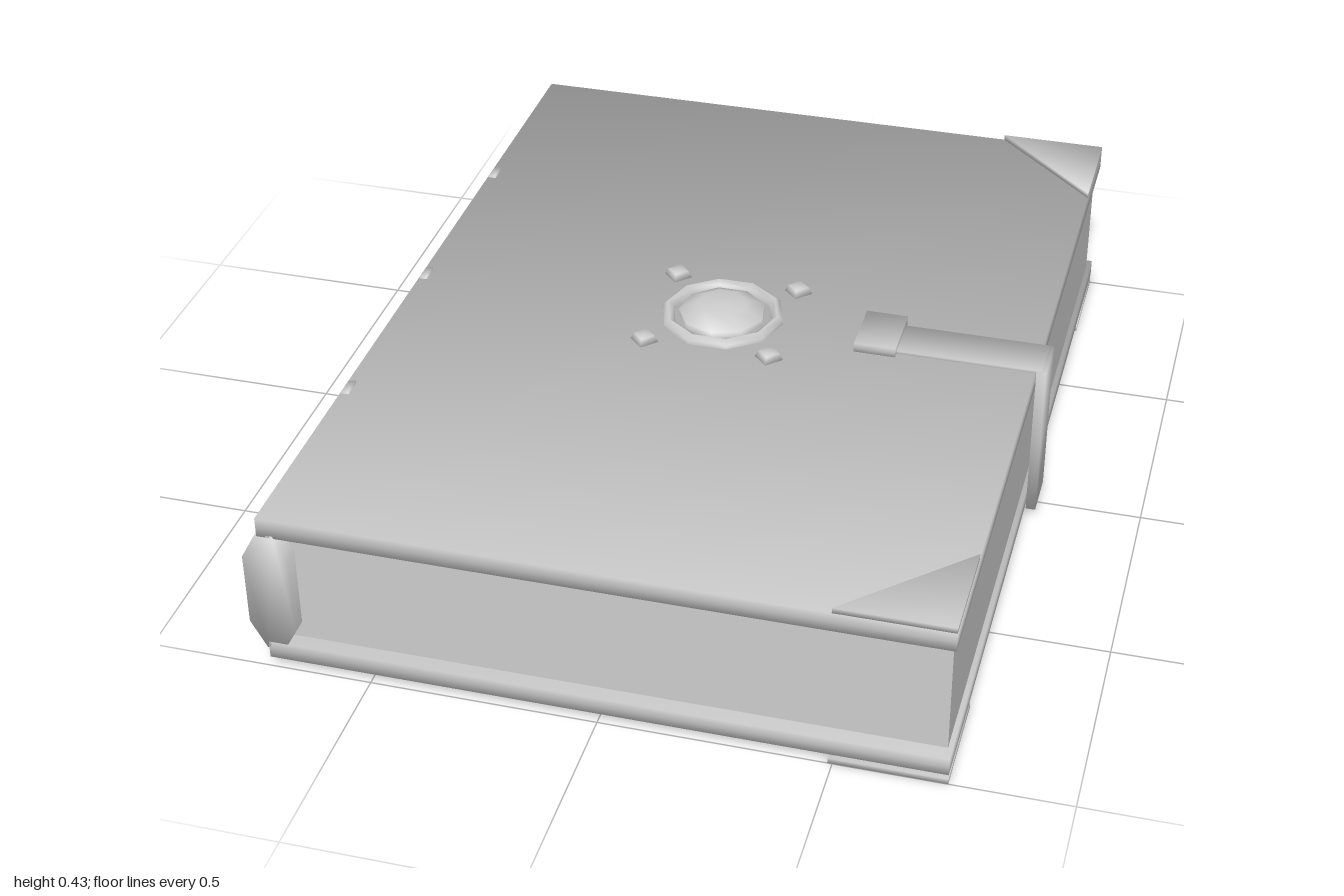
import * as THREE from 'three';

const material = new THREE.MeshStandardMaterial({ color: 0xcccccc });
material.name = 'plain grey';

// Rounds the shading: every corner gets the mean of the distinct faces meeting there
function soften(geometry) {
  const p = geometry.attributes.position, n = geometry.attributes.normal;
  const corners = new Map(), v = new THREE.Vector3();
  const key = i => [p.getX(i), p.getY(i), p.getZ(i)].map(c => Math.round(c * 1e4)).join();
  for (let i = 0; i < p.count; i++) {
    v.fromBufferAttribute(n, i);
    const list = corners.get(key(i)) ?? [];
    if (!list.some(m => m.dot(v) > 0.99)) list.push(v.clone());
    corners.set(key(i), list);
  }
  for (let i = 0; i < p.count; i++) {
    v.set(0, 0, 0);
    corners.get(key(i)).forEach(m => v.add(m));
    v.normalize();
    n.setXYZ(i, v.x, v.y, v.z);
  }
  return geometry;
}

const extrude = (points, depth) => new THREE.ExtrudeGeometry(
  new THREE.Shape(points.map(([x, y]) => new THREE.Vector2(x, y))), { depth, bevelEnabled: false });

export function createModel() {
  const book = new THREE.Group();
  book.name = 'book';

  const add = (name, geometry, x = 0, y = 0, z = 0) => {
    const mesh = new THREE.Mesh(geometry, material);
    mesh.name = name;
    mesh.position.set(x, y, z);
    book.add(mesh);
    return mesh;
  };
  // Box given by its limits along x and y, centred on z
  const slab = (name, x0, x1, y0, y1, depth, soft = true) => {
    const g = new THREE.BoxGeometry(x1 - x0, y1 - y0, depth, 1, soft ? 2 : 1, 1);
    return add(name, soft ? soften(g) : g, (x0 + x1) / 2, (y0 + y1) / 2, 0);
  };

  // Covers and page block
  slab('topCover', -0.725, 0.74, 0.345, 0.39, 2);
  slab('bottomCover', -0.725, 0.74, 0.025, 0.066, 2);
  slab('pages', -0.7, 0.73, 0.06, 0.35, 1.93, false);

  // Spine with bevelled profile
  add('spine', soften(extrude([
    [-0.763, 0.285], [-0.763, 0.115], [-0.728, 0.05], [-0.69, 0.05],
    [-0.66, 0.105], [-0.66, 0.295], [-0.69, 0.35], [-0.728, 0.35],
  ], 2)), 0, 0, -1);

  // Raised bands over the spine
  for (const z of [-0.5, 0, 0.5]) {
    add('spineBand', soften(extrude([
      [-0.705, 0.398], [-0.722, 0.394], [-0.768, 0.3], [-0.768, 0.105],
      [-0.722, 0.02], [-0.705, 0.012],
    ], 0.045)), 0, 0, z - 0.0225);
  }

  // Triangular corner guards on the fore edge, above and below
  for (const s of [-1, 1]) {
    for (const top of [0.403, 0.014]) {
      const g = extrude([[0.49, s], [0.74, s], [0.74, s * 0.755]], 0.013);
      add('cornerGuard', soften(g.rotateX(Math.PI / 2)), 0, top, 0);
    }
  }

  // Clasp strap wrapping the fore edge
  slab('strapTop', 0.4, 0.755, 0.386, 0.397, 0.11);
  slab('strapSide', 0.742, 0.764, 0.02, 0.394, 0.115);
  slab('buckle', 0.33, 0.425, 0.388, 0.412, 0.142);

  // Medallion: ring, raised gem and four studs
  const cx = 0.007;
  const ring = new THREE.LatheGeometry([
    [0.143, 0.385], [0.143, 0.4], [0.13, 0.41], [0.117, 0.402], [0.114, 0.385],
  ].map(([r, y]) => new THREE.Vector2(r, y)), 10, Math.PI / 2);
  add('medallionRing', ring, cx);
  const gem = new THREE.LatheGeometry([
    [0.1, 0.385], [0.1, 0.405], [0.055, 0.426], [0, 0.428],
  ].map(([r, y]) => new THREE.Vector2(r, y)), 9);
  add('gem', gem, cx);
  for (const sx of [-1, 1]) {
    for (const sz of [-1, 1]) {
      add('stud', soften(new THREE.CylinderGeometry(0.024, 0.034, 0.018, 4)), cx + sx * 0.145, 0.397, sz * 0.145);
    }
  }
  // Lathe faces must look outward
  for (const g of [ring, gem]) {
    const p = g.attributes.position, index = g.index.array;
    const [a, b, c] = [0, 1, 2].map(i => new THREE.Vector3().fromBufferAttribute(p, index[i]));
    const face = b.clone().sub(a).cross(c.clone().sub(a));
    if (face.dot(new THREE.Vector3(a.x, 0, a.z)) < 0) {
      for (let i = 0; i < index.length; i += 3) [index[i], index[i + 1]] = [index[i + 1], index[i]];
      g.computeVertexNormals();
    }
  }

  return book;
}
